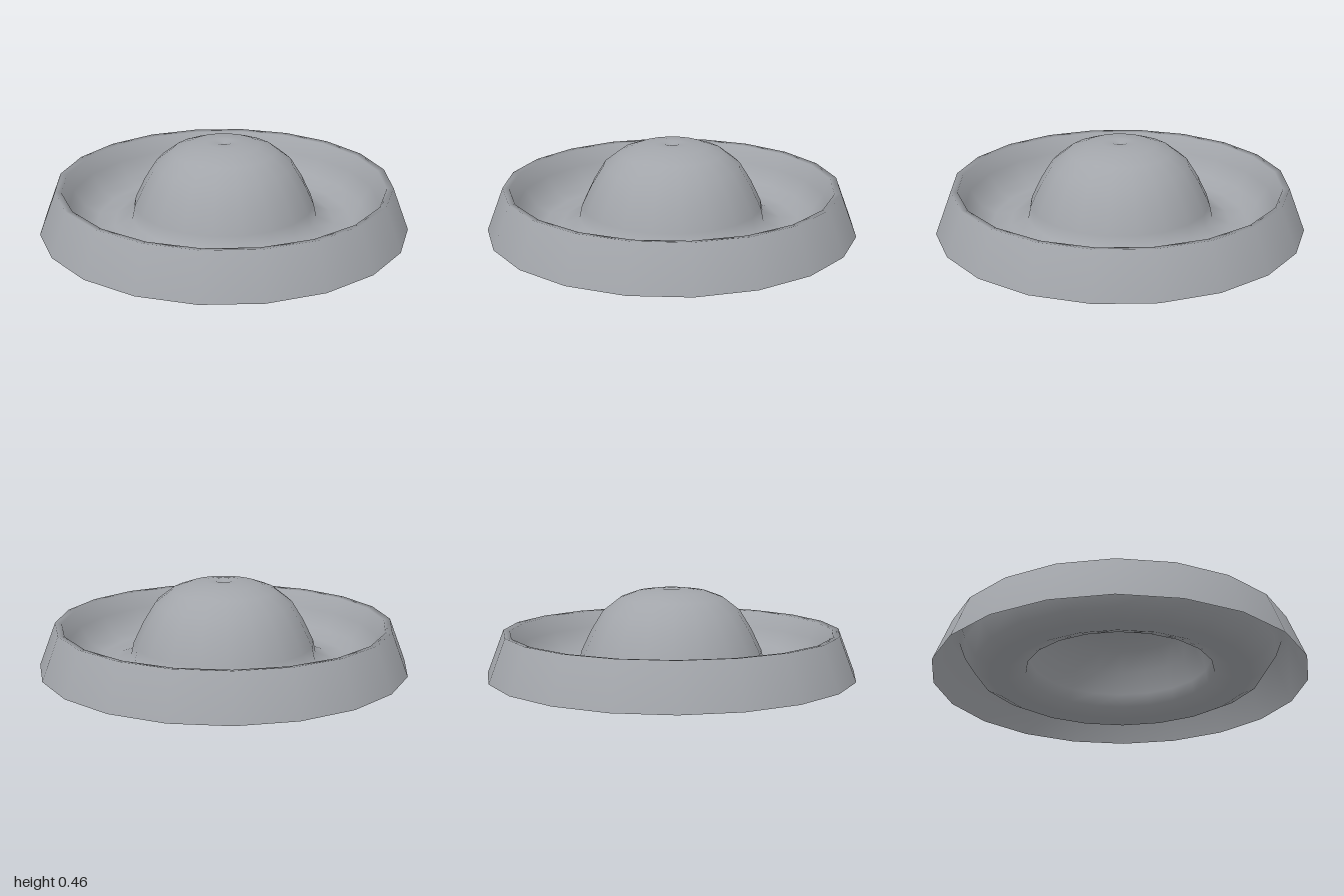
import * as THREE from 'three';

const SIDES = 20;

export function createModel() {
  const group = new THREE.Group();
  group.name = 'domedDish';

  const grey = new THREE.MeshStandardMaterial({ color: 0xa2a5aa, side: THREE.DoubleSide });
  grey.name = 'grey';

  // Turn a profile of [radius, height] pairs, listed from the outside in
  const turned = (name, profile) => {
    const points = profile.map(([r, y]) => new THREE.Vector2(r, y));
    const mesh = new THREE.Mesh(new THREE.LatheGeometry(points, SIDES), grey);
    mesh.name = name;
    group.add(mesh);
  };

  // One thin open sheet: sloping skirt, narrow rim, round trough and dimpled dome
  turned('dishShell', [
    [1, 0], [0.91, 0.235], [0.875, 0.23],
    [0.84, 0.14], [0.78, 0.05], [0.7, 0.01], [0.6, 0.015], [0.505, 0.05],
    [0.49, 0.12], [0.435, 0.235], [0.37, 0.34], [0.28, 0.41], [0.19, 0.443],
    [0.1, 0.456], [0.05, 0.459], [0, 0.445],
  ]);

  return group;
}
